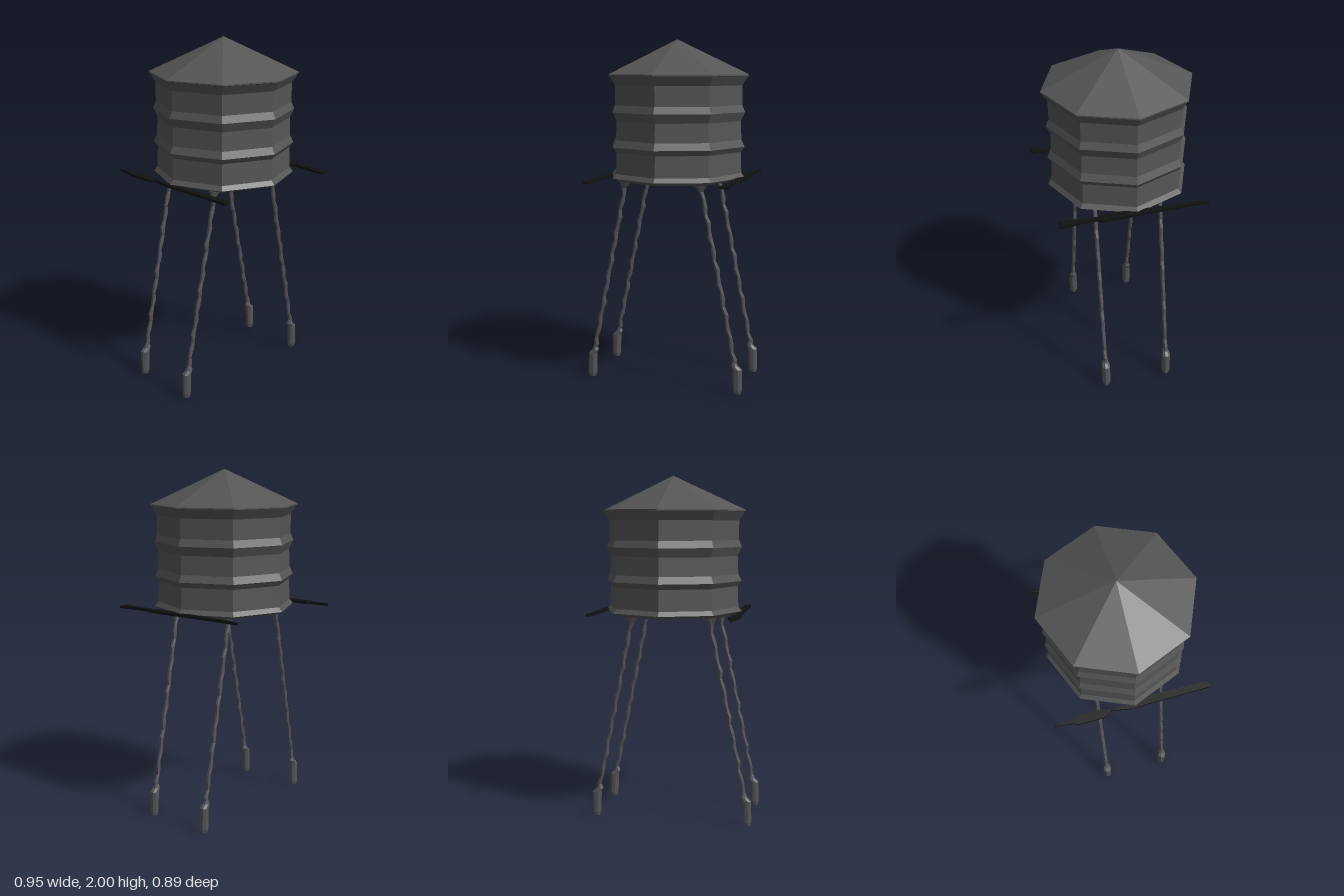
import * as THREE from 'three';

const steel = new THREE.MeshStandardMaterial({ color: 0x555555, flatShading: true });
const dark = new THREE.MeshStandardMaterial({ color: 0x111111, flatShading: true, side: THREE.DoubleSide });
const CX = 0.023, CZ = 0.012; // tank axis

function add(group, name, geometry, material = steel) {
  const mesh = new THREE.Mesh(geometry, material);
  mesh.name = name;
  group.add(mesh);
  return mesh;
}

// Eight-sided turned part on the tank axis, profile as [radius, height]
function octagon(profile) {
  const pts = profile.map(([r, y]) => new THREE.Vector2(r, y));
  return new THREE.LatheGeometry(pts, 8).translate(CX, 0, CZ);
}

// Thin, tapering plank outlined in x and z
function plank(outline, y, thickness) {
  const shape = new THREE.Shape(outline.map(([x, z]) => new THREE.Vector2(x, z)));
  return new THREE.ExtrudeGeometry(shape, { depth: thickness, bevelEnabled: false })
    .rotateX(Math.PI / 2).translate(0, y, 0);
}

// Knobbly slanting leg: a thin hexagonal column whose rings alternate in width and offset
function legGeometry(side, z) {
  const rows = 24;
  const geo = new THREE.CylinderGeometry(1, 1, 1, 6, rows);
  const pos = geo.attributes.position;
  for (let i = 0; i < pos.count; i++) {
    const t = pos.getY(i) + 0.5;
    const row = Math.round(t * rows);
    const top = row === rows;
    const rx = top ? 0.045 : row % 2 ? 0.015 : 0.010;
    const rz = top ? 0.026 : 0.012;
    const wobble = top ? 0 : 0.005 * Math.sin(row * 2.1);
    const centre = side * THREE.MathUtils.lerp(0.437, 0.222, t) + wobble;
    pos.setXYZ(i, centre + pos.getX(i) * rx, 0.16 + 1.045 * t, z + pos.getZ(i) * rz);
  }
  geo.computeVertexNormals();
  return geo;
}

// Chamfered block foot, drawn in towards the leg at its top
function footGeometry(side, z) {
  const profile = [[0, 0], [0.021, 0.005], [0.026, 0.025], [0.027, 0.15], [0.021, 0.17], [0.009, 0.2], [0, 0.2]];
  const geo = new THREE.LatheGeometry(profile.map(([r, y]) => new THREE.Vector2(r, y)), 8);
  geo.rotateY(Math.PI / 8);
  const pos = geo.attributes.position;
  for (let i = 0; i < pos.count; i++) {
    const y = pos.getY(i);
    const lean = y > 0.16 ? 0.43 : 0.449 - 0.03 * (y - 0.08);
    pos.setXYZ(i, side * lean + pos.getX(i), y, z + pos.getZ(i) * 0.93);
  }
  geo.computeVertexNormals();
  return geo;
}

export function createModel() {
  const model = new THREE.Group();
  model.name = 'waterTower';

  // Ribbed tank wall with closed underside
  add(model, 'tank', octagon([
    [0, 1.205], [0.36, 1.205], [0.405, 1.225], [0.385, 1.25],
    [0.38, 1.37], [0.402, 1.40], [0.383, 1.44],
    [0.378, 1.545], [0.402, 1.595], [0.385, 1.635],
    [0.385, 1.745], [0.418, 1.795],
  ]));

  // Conical roof and its soffit
  add(model, 'roof', octagon([[0.37, 1.79], [0.422, 1.797], [0.422, 1.805], [0, 2]]));

  // Support planks under the two sides of the tank
  add(model, 'rightPlank', plank([
    [-0.38, -0.445], [-0.365, -0.325], [-0.35, -0.315], [-0.355, -0.16], [-0.372, -0.12], [-0.362, -0.04],
    [-0.345, 0.1], [-0.348, 0.44], [-0.384, 0.445], [-0.389, 0.1], [-0.395, 0],
    [-0.375, -0.12], [-0.403, -0.16], [-0.403, -0.325], [-0.393, -0.335],
  ], 1.222, 0.014), dark);
  add(model, 'leftPlank', plank([
    [0.433, -0.395], [0.437, -0.2], [0.445, 0], [0.452, 0.22], [0.435, 0.23],
    [0.437, 0.31], [0.452, 0.44], [0.395, 0.44], [0.408, 0.3], [0.412, 0.23],
    [0.393, 0.19], [0.4, 0], [0.41, -0.32],
  ], 1.23, 0.014), dark);

  // Four splayed legs with feet
  for (const side of [-1, 1]) {
    for (const z of [0.202, -0.176]) {
      const leg = new THREE.Group();
      leg.name = (z > 0 ? 'front' : 'back') + (side > 0 ? 'Left' : 'Right') + 'Leg';
      add(leg, 'legPole', legGeometry(side, z));
      add(leg, 'foot', footGeometry(side, z));
      model.add(leg);
    }
  }
  return model;
}
